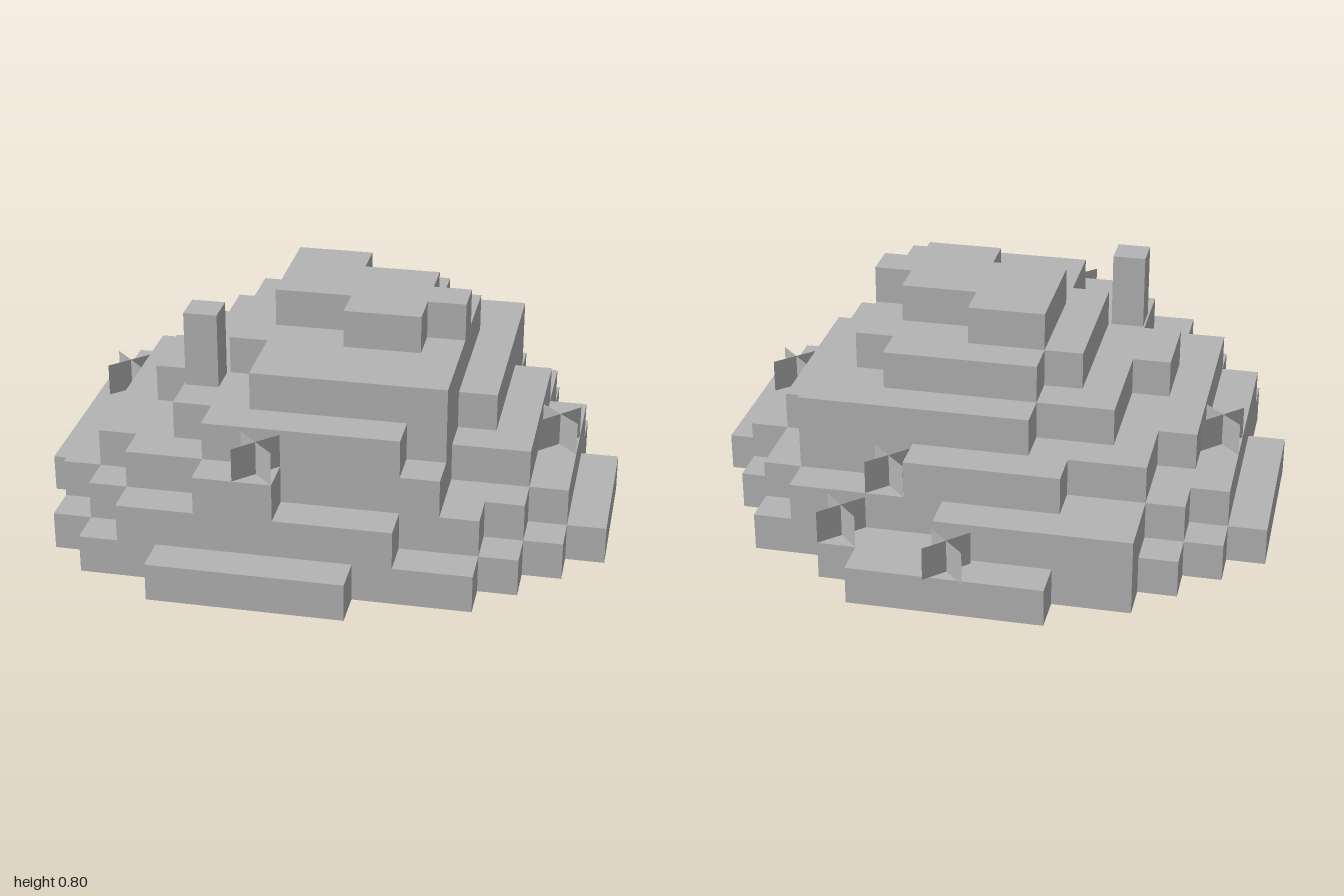
import * as THREE from 'three';

const CELL = 2 / 15, COLS = 15, ROWS = 14;
const X0 = -1, Z0 = -0.925;

// Each terrace: first row, then the first-last column filled in every row (back to front)
const TERRACES = [
  [0, '5-9 3-10 2-12 1-12 0-13 0-13 0-14 0-14 0-14 1-14 1-13 1-12 2-11 4-8'],
  [1, '3-7 3-11 2-12 1-12 1-13 1-13 1-13 1-13 1-13 1-12 2-11 3-9'],
  [2, '5-8 3-11 3-11 2-12 2-12 2-12 2-12 2-12 2-10 3-10 5-6'],
  [3, '6-11 4-11 4-11 4-11 3-11 3-11 4-10 4-10 5-9'],
  [4, '6-9 5-10 5-10 5-10 5-10 6-10 6-10'],
  [5, '6-7 6-9 6-10 8-9'],
];

// Plants as column, row
const PLANTS = [[6, 12], [13, 7], [1, 6], [7, 0], [10, 1], [9, 2]];

function buildHeights() {
  const h = Array.from({ length: ROWS }, () => new Array(COLS).fill(0));
  for (const [first, spans] of TERRACES) {
    spans.split(' ').forEach((span, i) => {
      const [a, b] = span.split('-').map(Number);
      for (let c = a; c <= b; c++) h[first + i][c]++;
    });
  }
  return h;
}

// Collects flat four-cornered faces into one geometry
function quadGeometry(quads) {
  const pos = [];
  for (const [a, b, c, d] of quads) pos.push(...a, ...b, ...c, ...a, ...c, ...d);
  const g = new THREE.BufferGeometry();
  g.setAttribute('position', new THREE.Float32BufferAttribute(pos, 3));
  g.computeVertexNormals();
  return g;
}

// Open-bottomed stepped shell: tops, plus walls wherever the height drops
function moundGeometry(h) {
  const quads = [];
  const at = (r, c) => h[r]?.[c] ?? 0;
  const wall = (ax, az, bx, bz, lo, hi) => {
    if (hi <= lo) return;
    const y0 = lo * CELL, y1 = hi * CELL;
    quads.push([[ax, y0, az], [bx, y0, bz], [bx, y1, bz], [ax, y1, az]]);
  };
  for (let r = 0; r < ROWS; r++) {
    for (let c = 0; c < COLS; c++) {
      const n = h[r][c];
      if (!n) continue;
      const x = X0 + c * CELL, X = x + CELL, z = Z0 + r * CELL, Z = z + CELL, y = n * CELL;
      quads.push([[x, y, Z], [X, y, Z], [X, y, z], [x, y, z]]);
      wall(x, Z, X, Z, at(r + 1, c), n);
      wall(X, z, x, z, at(r - 1, c), n);
      wall(X, Z, X, z, at(r, c + 1), n);
      wall(x, z, x, Z, at(r, c - 1), n);
    }
  }
  return quadGeometry(quads);
}

export function createModel() {
  const group = new THREE.Group();
  const stone = new THREE.MeshStandardMaterial({ color: 0xb4b4b4, side: THREE.DoubleSide });
  stone.name = 'stone grey';

  const heights = buildHeights();
  const mound = new THREE.Mesh(moundGeometry(heights), stone);
  mound.name = 'steppedMound';
  group.add(mound);

  // Small pillar on the fourth terrace
  const pillar = new THREE.Mesh(new THREE.BoxGeometry(0.116, 0.267, 0.116), stone);
  pillar.name = 'pillar';
  pillar.position.set(-0.402, 4 * CELL + 0.1335, 0.342);
  group.add(pillar);

  // Plants: two upright sheets crossing on the diagonals of a cell
  const w = 0.066, t = 0.118;
  const plantGeo = quadGeometry([
    [[-w, 0, -w], [w, 0, w], [w, t, w], [-w, t, -w]],
    [[-w, 0, w], [w, 0, -w], [w, t, -w], [-w, t, w]],
  ]);
  for (const [c, r] of PLANTS) {
    const plant = new THREE.Mesh(plantGeo, stone);
    plant.name = 'plant';
    const nudge = r === 0 ? -0.018 : 0;
    plant.position.set(X0 + (c + 0.5) * CELL, heights[r][c] * CELL, Z0 + (r + 0.5) * CELL + nudge);
    group.add(plant);
  }
  return group;
}
